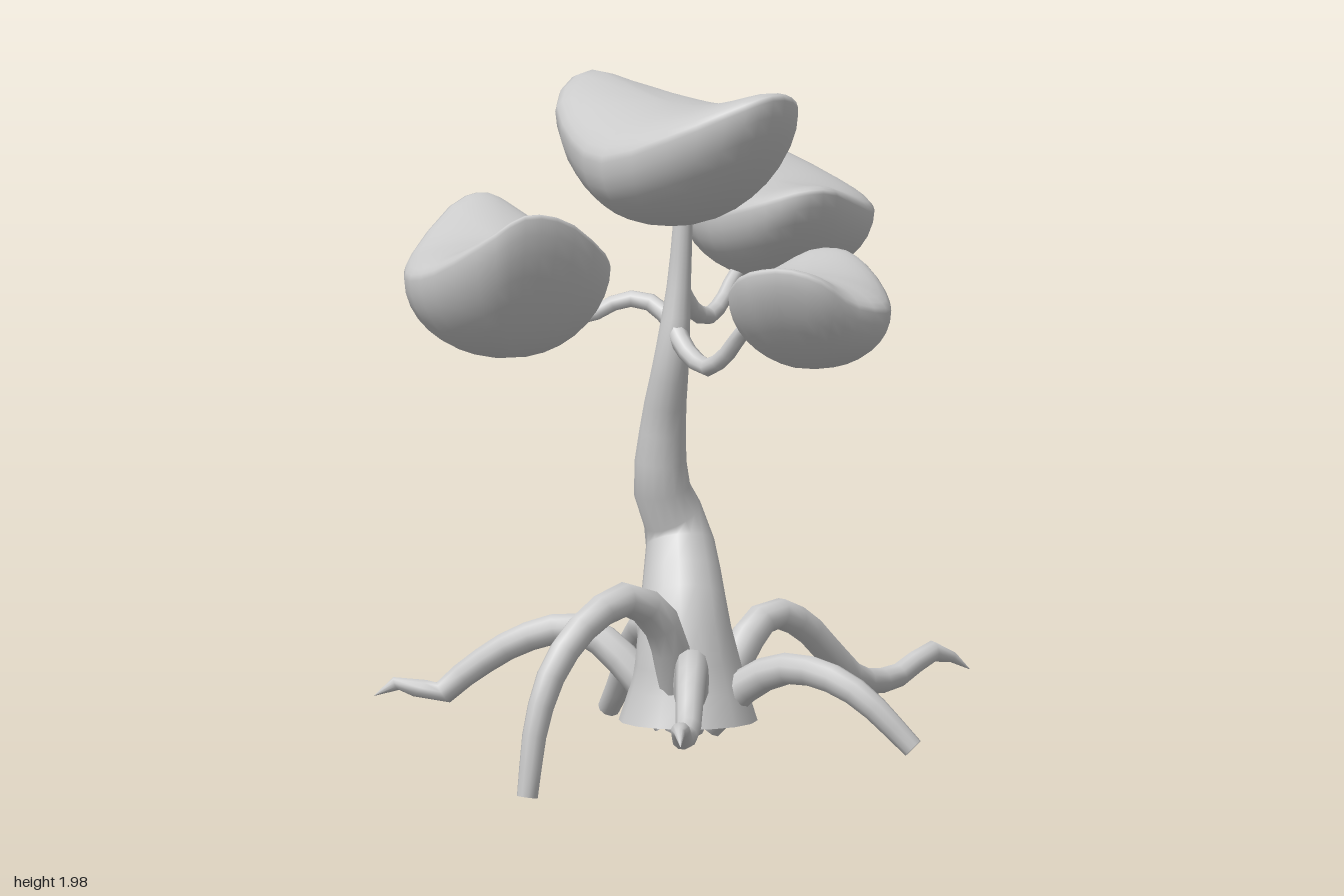
import * as THREE from 'three';
import { mergeGeometries, mergeVertices } from 'three/addons/utils/BufferGeometryUtils.js';

const material = new THREE.MeshStandardMaterial({ color: 0xcccccc, side: THREE.DoubleSide });
const vec = p => new THREE.Vector3(p[0], p[1], p[2]);

// Weld the seam and give the surface smooth normals
function smooth(geo) {
  geo.deleteAttribute('uv');
  geo.deleteAttribute('normal');
  const welded = mergeVertices(geo, 1e-5);
  welded.computeVertexNormals();
  return welded;
}

// Tapered tube through [x, y, z, radius] points, closed at its far end
function limb(name, points, sides = 10) {
  const curve = new THREE.CatmullRomCurve3(points.map(vec), false, 'centripetal');
  const segments = (points.length - 1) * 2;
  const tube = new THREE.TubeGeometry(curve, segments, 1, sides);
  const pos = tube.attributes.position;
  const v = new THREE.Vector3();
  let radius = 0;
  for (let i = 0; i <= segments; i++) {
    const u = i / segments;
    const centre = curve.getPointAt(u);
    const t = curve.getUtoTmapping(u) * (points.length - 1);
    const k = Math.min(Math.floor(t), points.length - 2);
    radius = THREE.MathUtils.lerp(points[k][3], points[k + 1][3], t - k);
    for (let j = 0; j <= sides; j++) {
      const n = i * (sides + 1) + j;
      v.fromBufferAttribute(pos, n).sub(centre).multiplyScalar(radius).add(centre);
      pos.setXYZ(n, v.x, v.y, v.z);
    }
  }
  const parts = [smooth(tube)];
  if (radius > 0.01) {
    const cap = new THREE.CircleGeometry(radius, sides);
    cap.deleteAttribute('uv');
    cap.applyQuaternion(new THREE.Quaternion().setFromUnitVectors(
      new THREE.Vector3(0, 0, 1), curve.getTangentAt(1)));
    const end = curve.getPointAt(1);
    cap.translate(end.x, end.y, end.z);
    parts.push(cap);
  }
  const mesh = new THREE.Mesh(mergeGeometries(parts), material);
  mesh.name = name;
  return mesh;
}

// Saddle-shaped foliage pad: a wavy rim of [x, y, z] points (left edge, front, right, back),
// with a shallow crown and a deep rounded underside at [x, z]
function canopy(name, [cx, cz], topY, sideY, bottomY, rimPoints) {
  const rim = new THREE.CatmullRomCurve3(rimPoints.map(vec), true, 'centripetal');
  const columns = 30, rows = 18;
  const geo = new THREE.SphereGeometry(1, columns, rows);
  const pos = geo.attributes.position;
  for (let i = 0; i < pos.count; i++) {
    const column = i % (columns + 1);
    const edge = rim.getPoint((column % columns) / columns);
    const y = pos.getY(i);
    const s = Math.hypot(pos.getX(i), pos.getZ(i));
    const height = y > 0 ? (topY - sideY) * y : (sideY - bottomY) * y;
    pos.setXYZ(i, cx + (edge.x - cx) * s, sideY + (edge.y - sideY) * s * s + height, cz + (edge.z - cz) * s);
  }
  const mesh = new THREE.Mesh(smooth(geo), material);
  mesh.name = name;
  return mesh;
}

export function createModel() {
  const tree = new THREE.Group();
  tree.name = 'tree';

  // Curved trunk with a flared, open foot
  tree.add(limb('trunk', [
    [-0.18, 0.155, -0.085, 0.195], [-0.18, 0.28, -0.085, 0.155], [-0.19, 0.42, -0.09, 0.13],
    [-0.145, 0.57, -0.15, 0.108], [-0.122, 0.68, -0.192, 0.09], [-0.18, 0.8, -0.195, 0.08],
    [-0.2, 1.0, -0.165, 0.063], [-0.22, 1.18, -0.11, 0.05], [-0.2, 1.4, -0.1, 0.033],
    [-0.19, 1.64, -0.09, 0.025]], 16));

  // Arching roots, blunt or pointed
  const roots = {
    rightRoot: [[-0.23, 0.15, -0.06, 0.05], [-0.3, 0.32, -0.01, 0.055], [-0.37, 0.46, 0.01, 0.055],
      [-0.5, 0.54, 0.015, 0.049], [-0.64, 0.49, 0.01, 0.045], [-0.76, 0.37, 0, 0.042],
      [-0.82, 0.22, -0.01, 0.036], [-0.852, 0.01, -0.015, 0.03]],
    frontRightRoot: [[-0.22, 0.15, -0.04, 0.05], [-0.3, 0.29, 0.06, 0.05], [-0.37, 0.355, 0.14, 0.045],
      [-0.46, 0.28, 0.23, 0.04], [-0.53, 0.2, 0.3, 0.035], [-0.62, 0.195, 0.375, 0.03],
      [-0.67, 0.235, 0.42, 0.026], [-0.73, 0.195, 0.49, 0.001]],
    frontRoot: [[-0.16, 0.15, -0.03, 0.05], [-0.1, 0.27, 0.08, 0.05], [-0.06, 0.32, 0.2, 0.045],
      [-0.02, 0.3, 0.35, 0.042], [0.02, 0.245, 0.44, 0.038], [0.1, 0.115, 0.545, 0.03]],
    leftRoot: [[-0.12, 0.15, -0.085, 0.05], [-0.02, 0.28, -0.085, 0.052], [0.05, 0.37, -0.085, 0.05],
      [0.13, 0.425, -0.085, 0.045], [0.25, 0.385, -0.085, 0.042], [0.37, 0.28, -0.085, 0.04],
      [0.47, 0.205, -0.09, 0.038], [0.62, 0.195, -0.105, 0.034], [0.77, 0.255, -0.1, 0.03],
      [0.88, 0.195, -0.08, 0.001]],
    backLeftRoot: [[-0.16, 0.15, -0.14, 0.05], [-0.12, 0.28, -0.24, 0.05], [-0.08, 0.385, -0.35, 0.047],
      [-0.02, 0.33, -0.48, 0.042], [0.04, 0.2, -0.6, 0.038], [0.07, 0.1, -0.69, 0.032]],
    backRightRoot: [[-0.21, 0.15, -0.13, 0.05], [-0.28, 0.32, -0.25, 0.05], [-0.34, 0.4, -0.36, 0.045],
      [-0.44, 0.37, -0.48, 0.042], [-0.53, 0.28, -0.6, 0.038], [-0.6, 0.2, -0.68, 0.033],
      [-0.65, 0.24, -0.74, 0.029], [-0.7, 0.195, -0.82, 0.001]],
  };
  for (const [name, points] of Object.entries(roots)) tree.add(limb(name, points));

  // Drooping branches carrying the lower foliage
  const branches = {
    frontBranch: [[-0.22, 1.27, -0.1, 0.03], [-0.235, 1.21, -0.03, 0.028], [-0.24, 1.175, 0.06, 0.026],
      [-0.24, 1.22, 0.14, 0.024], [-0.24, 1.3, 0.22, 0.022], [-0.24, 1.32, 0.3, 0.02], [-0.26, 1.32, 0.4, 0.018]],
    leftBranch: [[-0.2, 1.38, -0.1, 0.028], [-0.14, 1.31, -0.11, 0.027], [-0.07, 1.285, -0.12, 0.025],
      [-0.01, 1.32, -0.13, 0.023], [0.05, 1.39, -0.14, 0.021], [0.13, 1.44, -0.15, 0.018]],
    backBranch: [[-0.21, 1.27, -0.1, 0.028], [-0.23, 1.33, -0.18, 0.026], [-0.28, 1.34, -0.24, 0.024],
      [-0.35, 1.29, -0.32, 0.022], [-0.44, 1.28, -0.42, 0.018]],
  };
  for (const [name, points] of Object.entries(branches)) tree.add(limb(name, points, 8));

  // Foliage pads
  tree.add(
    canopy('topCanopy', [-0.24, -0.08], 1.91, 1.8, 1.565, [
      [-0.54, 1.77, -0.05], [-0.48, 1.86, 0.2], [-0.38, 1.94, 0.35], [-0.29, 1.97, 0.39],
      [-0.18, 1.95, 0.36], [-0.08, 1.89, 0.26], [0.03, 1.82, 0.06], [0.06, 1.8, -0.1], [0.03, 1.83, -0.33],
      [-0.04, 1.88, -0.49], [-0.15, 1.925, -0.545], [-0.32, 1.88, -0.48], [-0.46, 1.8, -0.28]]),
    canopy('leftCanopy', [0.21, -0.15], 1.64, 1.56, 1.36, [
      [-0.1, 1.59, 0.02], [-0.1, 1.63, 0.16], [-0.05, 1.66, 0.24], [0.04, 1.66, 0.26], [0.19, 1.61, 0.2],
      [0.35, 1.56, 0.1], [0.48, 1.55, -0.05], [0.53, 1.58, -0.22], [0.5, 1.66, -0.47],
      [0.4, 1.71, -0.55], [0.29, 1.7, -0.56], [0.14, 1.63, -0.47], [0.01, 1.57, -0.33], [-0.07, 1.56, -0.13]]),
    canopy('frontCanopy', [-0.29, 0.53], 1.5, 1.42, 1.23, [
      [-0.58, 1.52, 0.6], [-0.54, 1.54, 0.71], [-0.47, 1.51, 0.79], [-0.37, 1.44, 0.81],
      [-0.24, 1.41, 0.81], [-0.13, 1.42, 0.7], [-0.03, 1.48, 0.5], [-0.015, 1.51, 0.38],
      [-0.06, 1.5, 0.29], [-0.17, 1.44, 0.245], [-0.34, 1.41, 0.28], [-0.48, 1.45, 0.42]]),
    canopy('backCanopy', [-0.5, -0.48], 1.5, 1.4, 1.17, [
      [-0.795, 1.43, -0.47], [-0.77, 1.54, -0.27], [-0.7, 1.61, -0.19], [-0.58, 1.59, -0.155],
      [-0.4, 1.47, -0.18], [-0.28, 1.41, -0.32], [-0.21, 1.43, -0.55], [-0.24, 1.52, -0.72],
      [-0.29, 1.57, -0.8], [-0.38, 1.56, -0.82], [-0.63, 1.43, -0.75], [-0.77, 1.4, -0.61]]));

  return tree;
}
